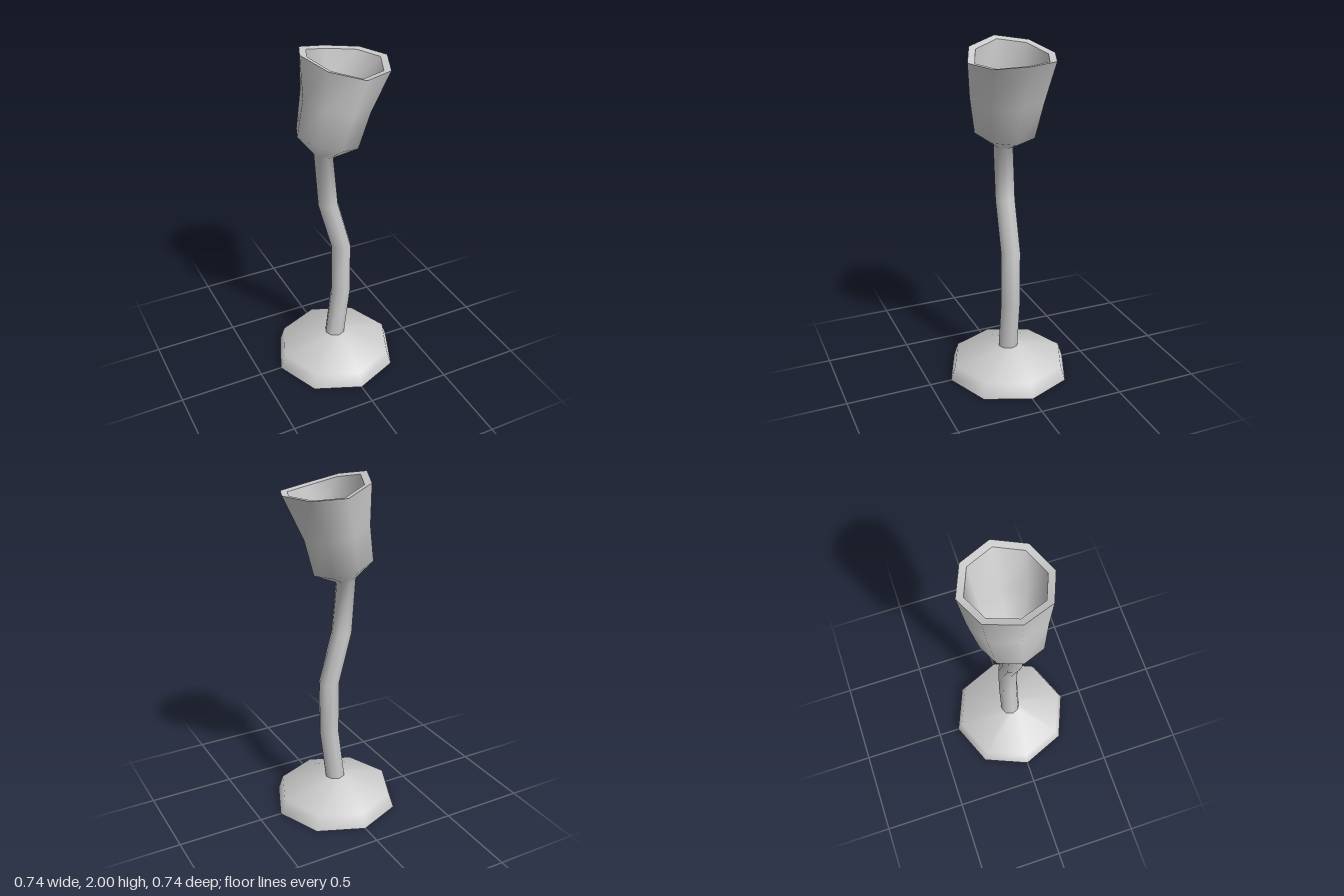
import * as THREE from 'three';

const SIDES = 8;
const material = new THREE.MeshStandardMaterial({ color: 0xcccccc, side: THREE.DoubleSide });

// Tilted octagonal ring from its left-hand and right-hand points, half depth,
// sag of the front/back points and roll (back raised, front lowered)
function ring(x0, y0, x1, y1, rz, sag = 0, roll = 0) {
  const points = [];
  for (let i = 0; i < SIDES; i++) {
    const a = (i / SIDES) * Math.PI * 2, c = Math.cos(a), s = Math.sin(a);
    points.push([
      (x0 + x1) / 2 + ((x1 - x0) / 2) * c,
      (y0 + y1) / 2 + ((y1 - y0) / 2) * c - sag * s * s + roll * s,
      -rz * s,
    ]);
  }
  return points;
}

const level = (x, y, r) => ring(x - r, y, x + r, y, r);

// Smooth skin through a list of rings
function loft(name, rings) {
  const index = [];
  for (let j = 0; j < rings.length - 1; j++) {
    for (let i = 0; i < SIDES; i++) {
      const k = (i + 1) % SIDES;
      const a = j * SIDES + i, b = j * SIDES + k;
      index.push(a, b, b + SIDES, a, b + SIDES, a + SIDES);
    }
  }
  const geometry = new THREE.BufferGeometry();
  geometry.setAttribute('position', new THREE.Float32BufferAttribute(rings.flat(2), 3));
  geometry.setIndex(index);
  geometry.computeVertexNormals();
  const mesh = new THREE.Mesh(geometry, material);
  mesh.name = name;
  return mesh;
}

export function createModel() {
  const group = new THREE.Group();
  group.name = 'bentGoblet';

  // Foot: low octagonal dome with a flat underside
  const footEdge = level(0, 0, 0.37);
  group.add(loft('foot', [footEdge, level(0, 0.09, 0.34), level(0, 0.17, 0.058)]));
  group.add(loft('footUnderside', [level(0, 0, 0), footEdge]));

  // Crooked stem running into the outside of the cup
  const rimOuter = ring(-0.195, 2.0, 0.31, 1.92, 0.25, 0.04, 0.01);
  const rimInner = ring(-0.155, 1.985, 0.27, 1.915, 0.21, 0.035, 0.01);
  group.add(loft('stemAndCup', [
    level(0, 0.16, 0.06),
    level(0.04, 0.48, 0.06),
    level(0.04, 0.8, 0.06),
    level(-0.042, 1.1, 0.06),
    ring(-0.125, 1.43, -0.012, 1.4, 0.06),
    ring(-0.22, 1.55, 0.13, 1.46, 0.18),
    ring(-0.182, 1.76, 0.187, 1.67, 0.222),
    rimOuter,
  ]));

  // Flat lip and hollow inside
  group.add(loft('cupRim', [rimOuter, rimInner]));
  group.add(loft('cupInside', [
    rimInner,
    ring(-0.142, 1.76, 0.147, 1.68, 0.185),
    ring(-0.172, 1.565, 0.09, 1.495, 0.14),
    level(-0.055, 1.46, 0.03),
    level(-0.055, 1.455, 0),
  ]));
  return group;
}
